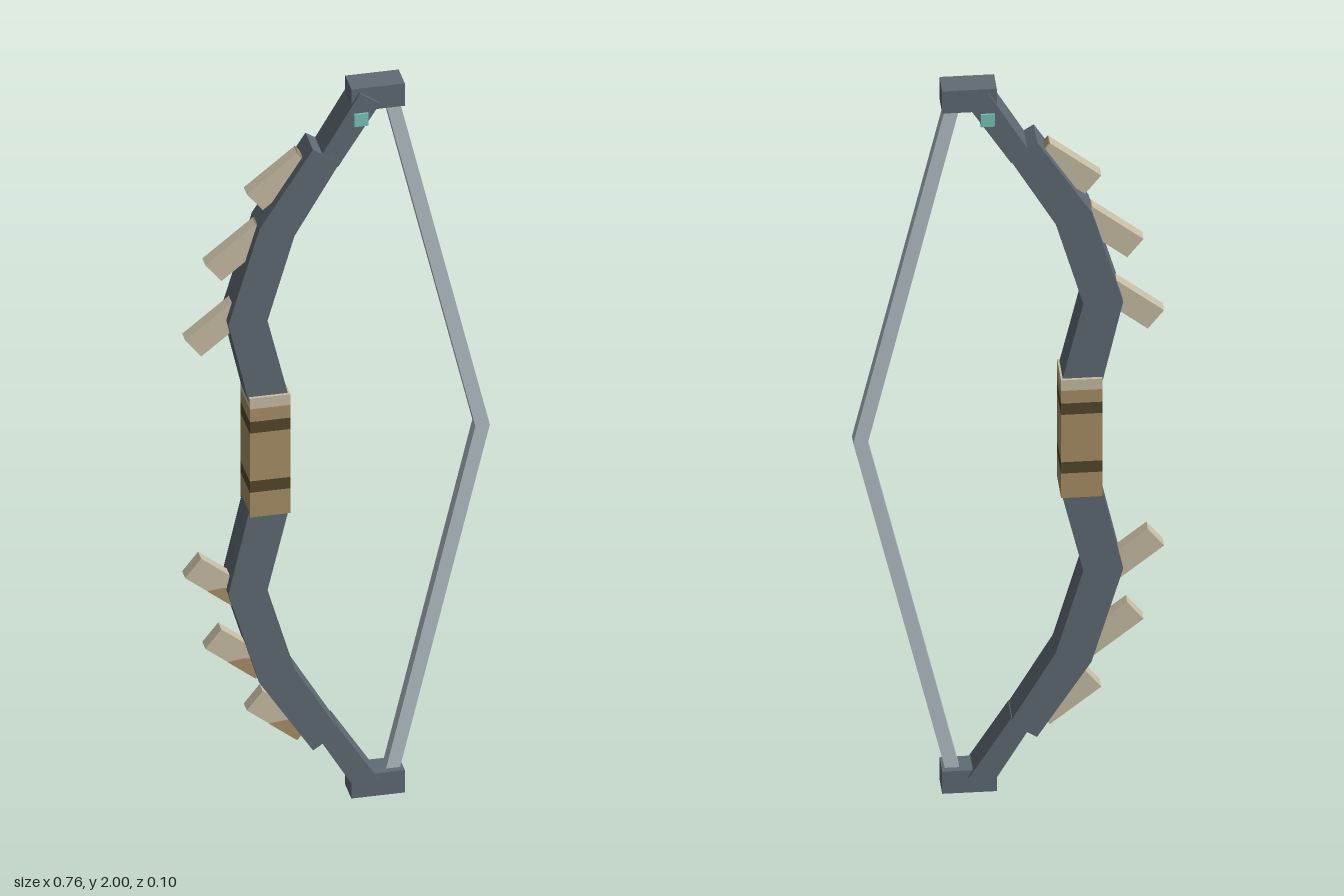
import * as THREE from 'three';

const mat = (name, color) => {
  const m = new THREE.MeshStandardMaterial({ color });
  m.name = name;
  return m;
};

export function createModel() {
  const slate = mat('slate', 0x5f6b74);
  const cord = mat('cord', 0xb3c0c6);
  const leather = mat('leather', 0xa89066);
  const darkWrap = mat('dark wrap', 0x54482c);
  const bone = mat('bone', 0xc8bea4);
  const teal = mat('teal', 0x79c4bb);
  const bow = new THREE.Group();
  bow.name = 'bow';

  const add = (parent, name, geometry, material) => {
    const mesh = new THREE.Mesh(geometry, material);
    mesh.name = name;
    parent.add(mesh);
    return mesh;
  };
  // Flat outline extruded from z0 to z1
  const slab = (parent, name, points, z0, z1, material) => {
    const shape = new THREE.Shape(points.map(([x, y]) => new THREE.Vector2(x, y)));
    const g = new THREE.ExtrudeGeometry(shape, { depth: z1 - z0, bevelEnabled: false });
    g.translate(0, 0, z0);
    return add(parent, name, g, material);
  };
  const box = (parent, name, x0, x1, y0, y1, z, material) => {
    const g = new THREE.BoxGeometry(x1 - x0, y1 - y0, 2 * z);
    g.translate((x0 + x1) / 2, (y0 + y1) / 2, 0);
    return add(parent, name, g, material);
  };

  // Both halves of the bow, mirrored about y = 1
  for (const upper of [true, false]) {
    const half = new THREE.Group();
    half.name = upper ? 'upperHalf' : 'lowerHalf';
    bow.add(half);
    const side = (pts) => pts.map(([x, y]) => [x, upper ? y : 2 - y]);

    slab(half, 'limb', side([
      [-0.225, 1.15], [-0.277, 1.38], [-0.2, 1.64], [-0.067, 1.847],
      [0, 1.803], [-0.113, 1.61], [-0.18, 1.38], [-0.125, 1.15],
    ]), -0.042, 0.042, slate);
    slab(half, 'limbTip', side([
      [-0.05, 1.82], [0.05, 1.99], [0.1, 1.956], [-0.005, 1.79],
    ]), -0.041, 0.041, slate);
    const [b0, b1] = upper ? [1.937, 2] : [0, 0.063];
    box(half, 'tipBlock', 0.03, 0.163, b0, b1, 0.034, slate);
    slab(half, 'string', side([
      [0.118, 1.945], [0.153, 1.945], [0.378, 1], [0.342, 1],
    ]), -0.017, 0.017, cord);

    // Slanted spikes along the outer edge
    for (const [x, y] of [[-0.226, 1.728], [-0.329, 1.541], [-0.379, 1.335]]) {
      const at = (list) => side(list.map(([s, t]) => [x + 0.78 * s + 0.62 * t, y + 0.62 * s - 0.78 * t]));
      slab(half, 'spike', at([[0, 0], [0.16, 0], [0.16, 0.064], [0, 0.064]]), -0.017, 0.017, bone);
      if (upper) {
        slab(half, 'spikeRoot', at([[0.16, 0], [0.163, 0], [0.163, 0.064], [0.16, 0.064]]), -0.017, 0.017, leather);
      } else {
        slab(half, 'spikeStain', at([[0.07, 0], [0.16, 0], [0.16, 0.064], [0.1, 0.03]]), 0.017, 0.019, leather);
      }
    }
  }

  // Wrapped grip, stacked from bottom to top
  const grip = new THREE.Group();
  grip.name = 'grip';
  bow.add(grip);
  const levels = [0.835, 0.905, 0.937, 1.072, 1.104, 1.14, 1.17];
  const wraps = [leather, darkWrap, leather, darkWrap, leather, bone];
  wraps.forEach((m, i) => box(grip, 'gripWrap', -0.226, -0.125, levels[i], levels[i + 1], 0.05, m));

  // Small pin through the upper tip
  box(bow, 'pin', 0.035, 0.07, 1.9, 1.935, 0.046, teal);

  return bow;
}
